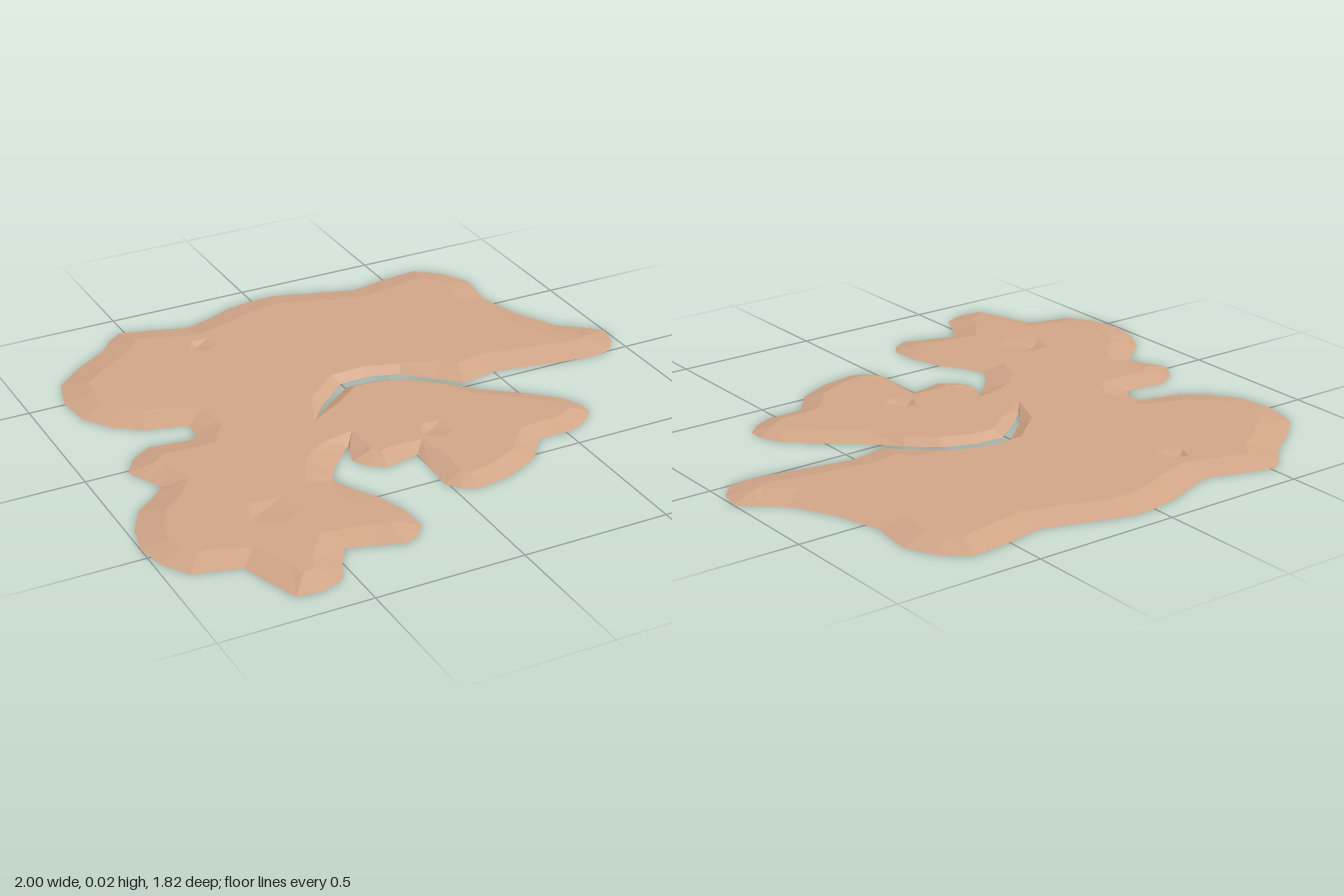
import * as THREE from 'three';

const HEIGHT = 0.02;

// Shore control points [x, z, ...], clockwise seen from above, with the slope width
const BACK_LAND = { width: 0.1, shore: [
  -.57, -.18, -.71, -.22, -.86, -.38, -.84, -.63, -.62, -.80, -.52, -.90, -.29, -.83, -.1, -.9, .09, -.92,
  .37, -.83, .64, -.87, .77, -.70, .75, -.55, .87, -.25, 1, -.14, .93, 0, .77, 0, .5, -.05, .37, -.03] };
const CHANNEL = { width: 0.04, shore: [.21, -.18, 0, -.21, -.18, -.02, .01, -.18, .22, -.13] };
const PENINSULA = { width: 0.07, shore: [
  .40, .04, .61, .22, .64, .34, .52, .42, .40, .42, .32, .52, .07, .60, -.01, .53, 0, .33,
  -.12, .355, -.2, .27, -.17, .18] };
const FRONT_LAND = { width: 0.09, shore: [
  -.23, .24, -.31, .35, -.23, .50, -.19, .71, -.28, .78, -.46, .72, -.54, .87, -.70, .89, -.77, .68,
  -.92, .64, -1, .45, -.92, .24, -.8, .14, -.86, .01, -.74, -.11, -.59, -.09] };

// Spline through all shore points, with one extra point between each pair
function makeShore() {
  const controls = [], widths = [];
  for (const { width, shore } of [BACK_LAND, CHANNEL, PENINSULA, FRONT_LAND]) {
    for (let i = 0; i < shore.length; i += 2) {
      controls.push(new THREE.Vector3(shore[i], 0, shore[i + 1]));
      widths.push(width, width);
    }
  }
  const curve = new THREE.CatmullRomCurve3(controls, true, 'centripetal');
  const points = widths.map((_, i) => {
    const p = curve.getPoint(i / widths.length);
    return new THREE.Vector2(p.x, p.z);
  });
  return { points, widths };
}

function distanceToLoop(p, loop) {
  let best = Infinity;
  loop.forEach((a, i) => {
    const ab = loop[(i + 1) % loop.length].clone().sub(a);
    const t = THREE.MathUtils.clamp(p.clone().sub(a).dot(ab) / ab.lengthSq(), 0, 1);
    best = Math.min(best, p.distanceTo(a.clone().addScaledVector(ab, t)));
  });
  return best;
}

// Move each shore point inland, less far where the land is narrow
function insetLoop({ points, widths }) {
  const n = points.length;
  return points.map((p, i) => {
    const before = p.clone().sub(points[(i + n - 1) % n]).normalize();
    const after = points[(i + 1) % n].clone().sub(p).normalize();
    const along = before.add(after).normalize();
    const inward = new THREE.Vector2(-along.y, along.x);
    for (let d = widths[i]; d > 0.01; d -= 0.005) {
      const q = p.clone().addScaledVector(inward, d);
      if (distanceToLoop(q, points) >= 0.8 * d) return q;
    }
    return p.clone().addScaledVector(inward, 0.008);
  });
}

// Add one triangle, always facing up; corners are [Vector2, height]
function addTriangle(out, a, b, c) {
  const up = (b[0].y - a[0].y) * (c[0].x - a[0].x) - (b[0].x - a[0].x) * (c[0].y - a[0].y);
  for (const [p, y] of up >= 0 ? [a, b, c] : [a, c, b]) out.push(p.x, y, p.y);
}

function meshFromTriangles(name, positions, material) {
  const geometry = new THREE.BufferGeometry();
  geometry.setAttribute('position', new THREE.Float32BufferAttribute(positions, 3));
  geometry.computeVertexNormals();
  const mesh = new THREE.Mesh(geometry, material);
  mesh.name = name;
  return mesh;
}

// Five-sided rim of a pit
function pitRim(x, z, radius) {
  return Array.from({ length: 5 }, (_, i) => {
    const angle = (i / 5) * Math.PI * 2 + 0.4;
    return new THREE.Vector2(x + radius * Math.cos(angle), z + radius * Math.sin(angle));
  });
}

export function createModel() {
  const group = new THREE.Group();
  group.name = 'landPatch';
  const sand = new THREE.MeshStandardMaterial({ color: 0xd2a688, side: THREE.DoubleSide, flatShading: true });
  sand.name = 'sand';

  const shore = makeShore();
  const rim = insetLoop(shore);

  // Sloping shore between the coastline and the plateau
  const slope = [];
  shore.points.forEach((p, i) => {
    const j = (i + 1) % rim.length;
    addTriangle(slope, [p, 0], [shore.points[j], 0], [rim[j], HEIGHT]);
    addTriangle(slope, [p, 0], [rim[j], HEIGHT], [rim[i], HEIGHT]);
  });
  group.add(meshFromTriangles('shoreSlope', slope, sand));

  // Shallow pits sunk into the plateau, lowest near their upper left
  const pits = [], holes = [];
  for (const [x, z, radius] of [[-.31, -.65, .05], [-.57, .46, .09], [.12, .24, .06]]) {
    const edge = pitRim(x, z, radius);
    const low = new THREE.Vector2(x - radius * 0.3, z - radius * 0.3);
    holes.push(edge);
    edge.forEach((p, i) => addTriangle(pits, [low, 0.008], [p, HEIGHT], [edge[(i + 1) % 5], HEIGHT]));
  }
  group.add(meshFromTriangles('pits', pits, sand));

  // Flat plateau with openings for the pits
  const plateau = [];
  const corners = [rim, ...holes].flat();
  for (const face of THREE.ShapeUtils.triangulateShape(rim, holes)) {
    addTriangle(plateau, ...face.map((k) => [corners[k], HEIGHT]));
  }
  group.add(meshFromTriangles('plateau', plateau, sand));
  return group;
}
